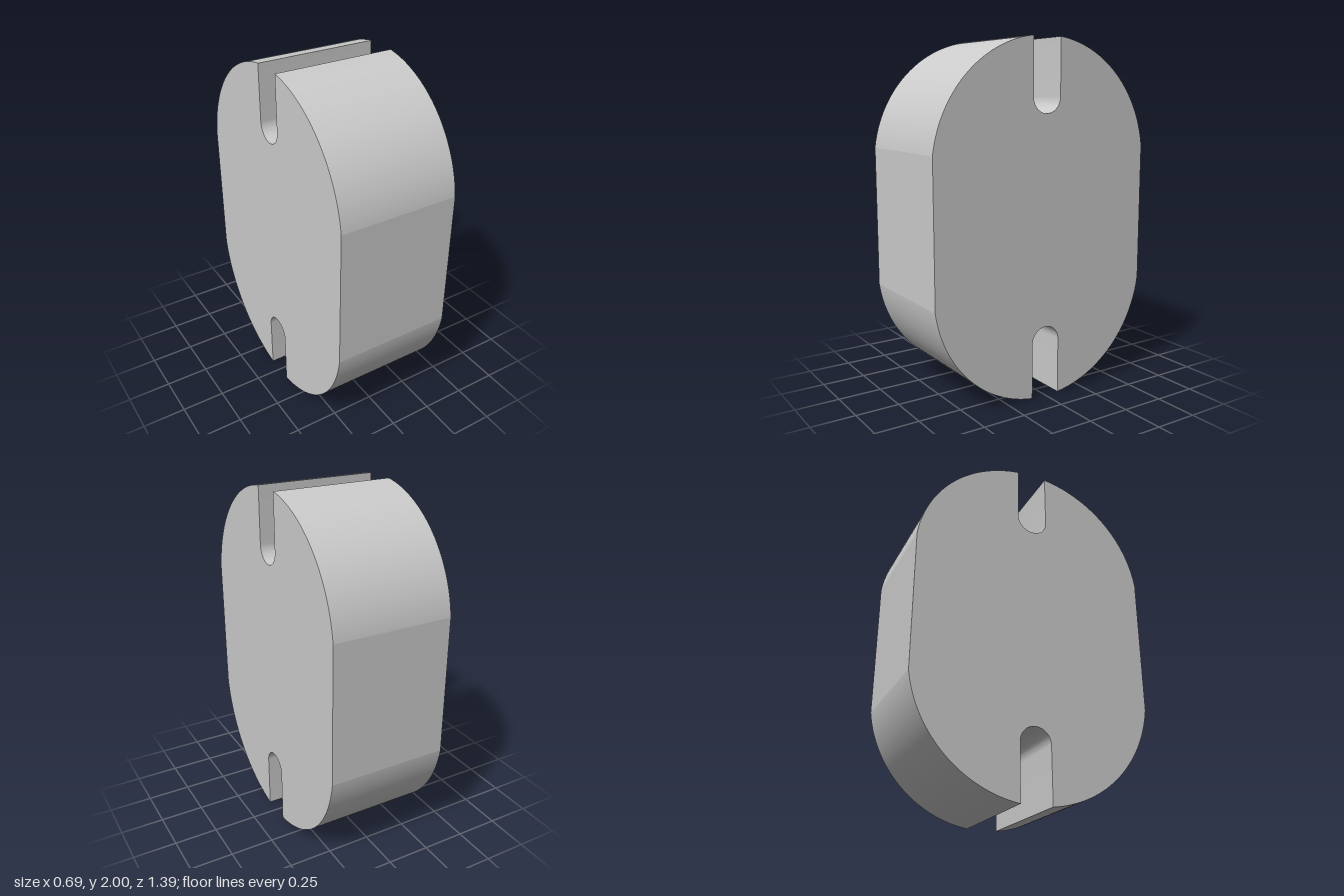
import * as THREE from 'three';
import { toCreasedNormals } from 'three/addons/utils/BufferGeometryUtils.js';

const DEPTH = 0.695;        // thickness along x
const HALF_WIDTH = 0.694;   // flat sides at z = +-HALF_WIDTH
const RADIUS = 0.70;        // rounded ends
const ARC_Y = 0.306;        // end arc centre, measured from mid height
const SLOT_R = 0.089;       // half width of the slots
const SLOT_Y = 0.683;       // centre of the slot's round bottom

export function createModel() {
  const group = new THREE.Group();
  group.name = 'slottedBlock';

  // Outline: each pass draws one rounded end with its slot, the second turned by 180 degrees
  const sideAngle = Math.acos(HALF_WIDTH / RADIUS);
  const slotAngle = Math.acos(SLOT_R / RADIUS);
  const shape = new THREE.Shape();
  for (const [s, turn] of [[1, 0], [-1, Math.PI]]) {
    const arc = (y, r, from, to, clockwise) =>
      shape.absarc(0, s * y, r, from + turn, to + turn, clockwise);
    arc(ARC_Y, RADIUS, sideAngle, slotAngle, false);
    arc(SLOT_Y, SLOT_R, 0, -Math.PI, true);
    arc(ARC_Y, RADIUS, Math.PI - slotAngle, Math.PI - sideAngle, false);
  }
  shape.closePath();

  // Extrude across x, smooth on the curves and sharp at the edges
  const extruded = new THREE.ExtrudeGeometry(shape, {
    depth: DEPTH, bevelEnabled: false, curveSegments: 48,
  });
  extruded.translate(0, 1, -DEPTH / 2).rotateY(Math.PI / 2);

  const body = new THREE.Mesh(
    toCreasedNormals(extruded, 0.1),
    new THREE.MeshStandardMaterial({ color: 0xcccccc }),
  );
  body.name = 'body';
  group.add(body);
  return group;
}
